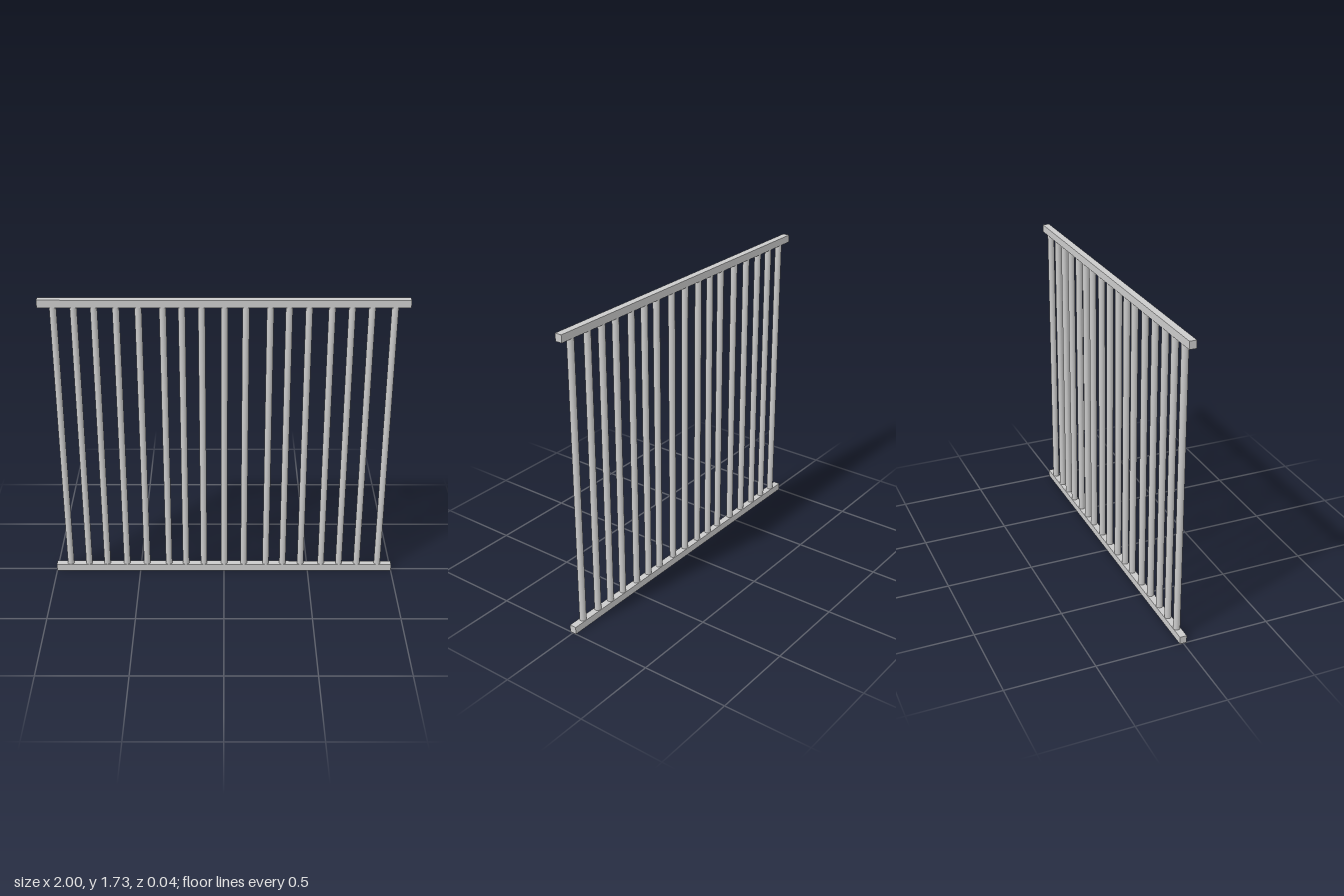
import * as THREE from 'three';

export function createModel() {
  const model = new THREE.Group();
  const material = new THREE.MeshStandardMaterial({ color: 0xcccccc });
  const height = 1.73, rail = 0.043, barRadius = 0.019;

  // Square rails along the bottom and top
  const railGeometry = new THREE.BoxGeometry(2, rail, 0.04);
  for (const [name, y] of [['bottomRail', rail / 2], ['topRail', height - rail / 2]]) {
    const mesh = new THREE.Mesh(railGeometry, material);
    mesh.name = name;
    mesh.position.y = y;
    model.add(mesh);
  }

  // Round upright bars, slightly unevenly spaced, ending at the rails
  const barGeometry = new THREE.CylinderGeometry(barRadius, barRadius, height - 2 * rail, 16, 1);
  const barPositions = [
    -0.917, -0.807, -0.698, -0.58, -0.46, -0.329, -0.227, -0.12, 0.002,
    0.118, 0.249, 0.35, 0.457, 0.58, 0.687, 0.794, 0.917,
  ];
  const bars = new THREE.Group();
  bars.name = 'bars';
  barPositions.forEach((x, i) => {
    const bar = new THREE.Mesh(barGeometry, material);
    bar.name = `bar${i + 1}`;
    bar.position.set(x, height / 2, 0);
    bars.add(bar);
  });
  model.add(bars);

  return model;
}
